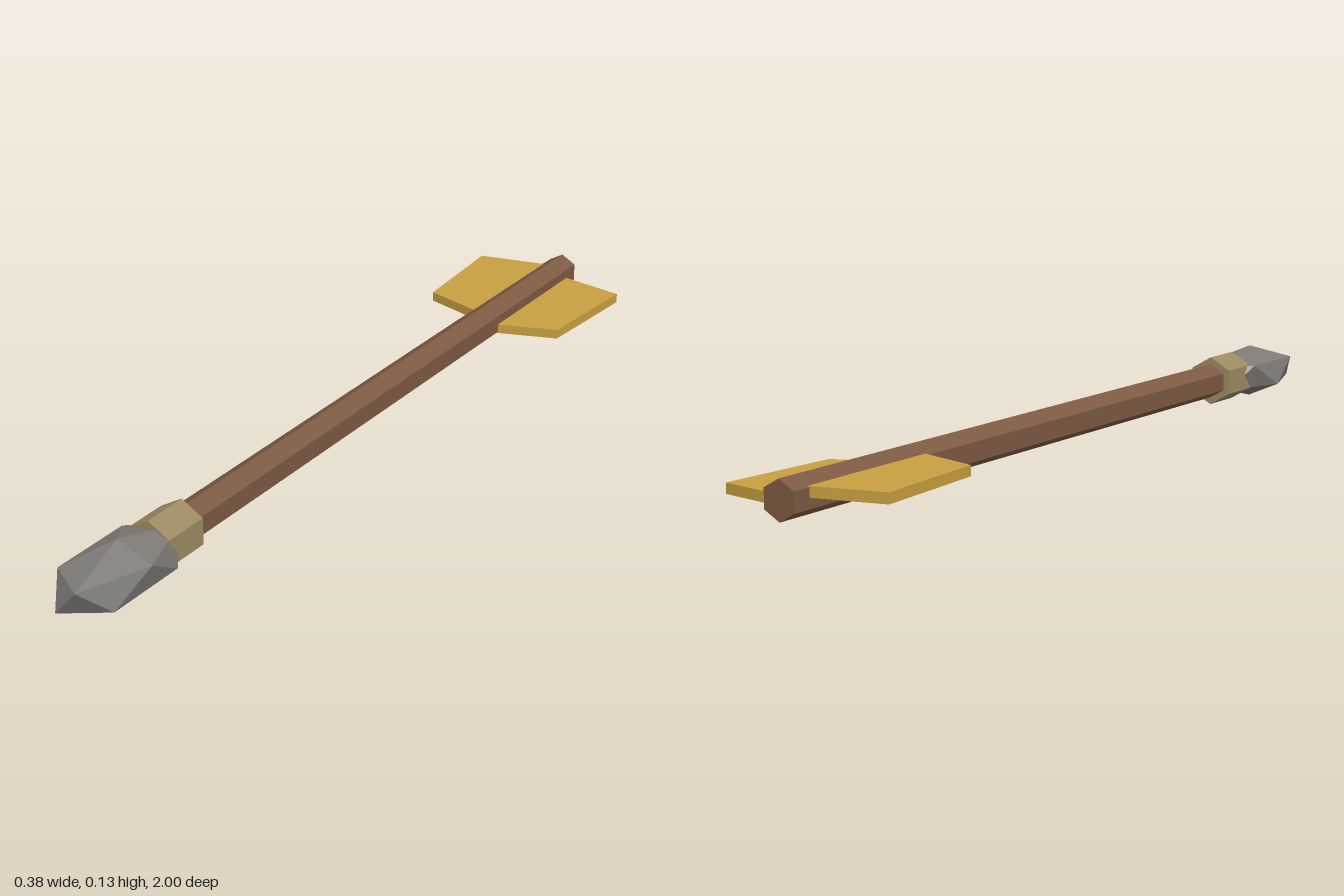
import * as THREE from 'three';
import { ConvexGeometry } from 'three/addons/geometries/ConvexGeometry.js';

const AXIS_Y = 0.064;

function material(name, color) {
  const m = new THREE.MeshStandardMaterial({ color, flatShading: true });
  m.name = name;
  return m;
}

// Six-sided bar lying along z, with a ridge on top
function hexBar(radius, z0, z1) {
  const geo = new THREE.CylinderGeometry(radius, radius, z1 - z0, 6);
  geo.rotateX(Math.PI / 2);
  geo.translate(0, 0, (z0 + z1) / 2);
  return geo;
}

// Stretched icosahedron: two poles and two staggered rings of five
function stoneHead(rx, ry, rz) {
  const points = [new THREE.Vector3(0, ry, 0), new THREE.Vector3(0, -ry, 0)];
  for (let i = 0; i < 5; i++) {
    const a = (i * 2 * Math.PI) / 5;
    const x = 0.894 * rx * Math.cos(a);
    const z = 0.894 * rz * Math.sin(a);
    points.push(new THREE.Vector3(x, 0.447 * ry, z), new THREE.Vector3(-x, -0.447 * ry, z));
  }
  return new ConvexGeometry(points);
}

// Flat vane on the +x side, just below the shaft's axis
function vaneGeometry() {
  const outline = [[0, 0.583], [0.172, 0.64], [0.192, 0.925], [0, 0.963]];
  const shape = new THREE.Shape(outline.map(([x, y]) => new THREE.Vector2(x, y)));
  const geo = new THREE.ExtrudeGeometry(shape, { depth: 0.022, bevelEnabled: false });
  geo.rotateX(-Math.PI / 2);
  geo.translate(0, -0.023, 0);
  return geo;
}

export function createModel() {
  const wood = material('brown wood', 0x7d5a43);
  const stone = material('grey stone', 0x7d7a77);
  const cord = material('tan binding', 0x9c8a62);
  const feather = material('yellow feather', 0xc8a040);

  const arrow = new THREE.Group();
  arrow.name = 'arrow';
  arrow.position.y = AXIS_Y;

  const add = (name, geo, mat) => {
    const mesh = new THREE.Mesh(geo, mat);
    mesh.name = name;
    arrow.add(mesh);
    return mesh;
  };

  add('shaft', hexBar(0.041, -1, 0.7), wood);
  add('binding', hexBar(0.058, 0.635, 0.745), cord);
  add('head', stoneHead(0.0906, 0.063, 0.188), stone).position.z = 0.84;

  // The second vane is the first turned half way round the shaft
  add('leftVane', vaneGeometry(), feather);
  add('rightVane', vaneGeometry(), feather).rotation.z = Math.PI;

  const model = new THREE.Group();
  model.name = 'arrowModel';
  model.add(arrow);
  return model;
}
